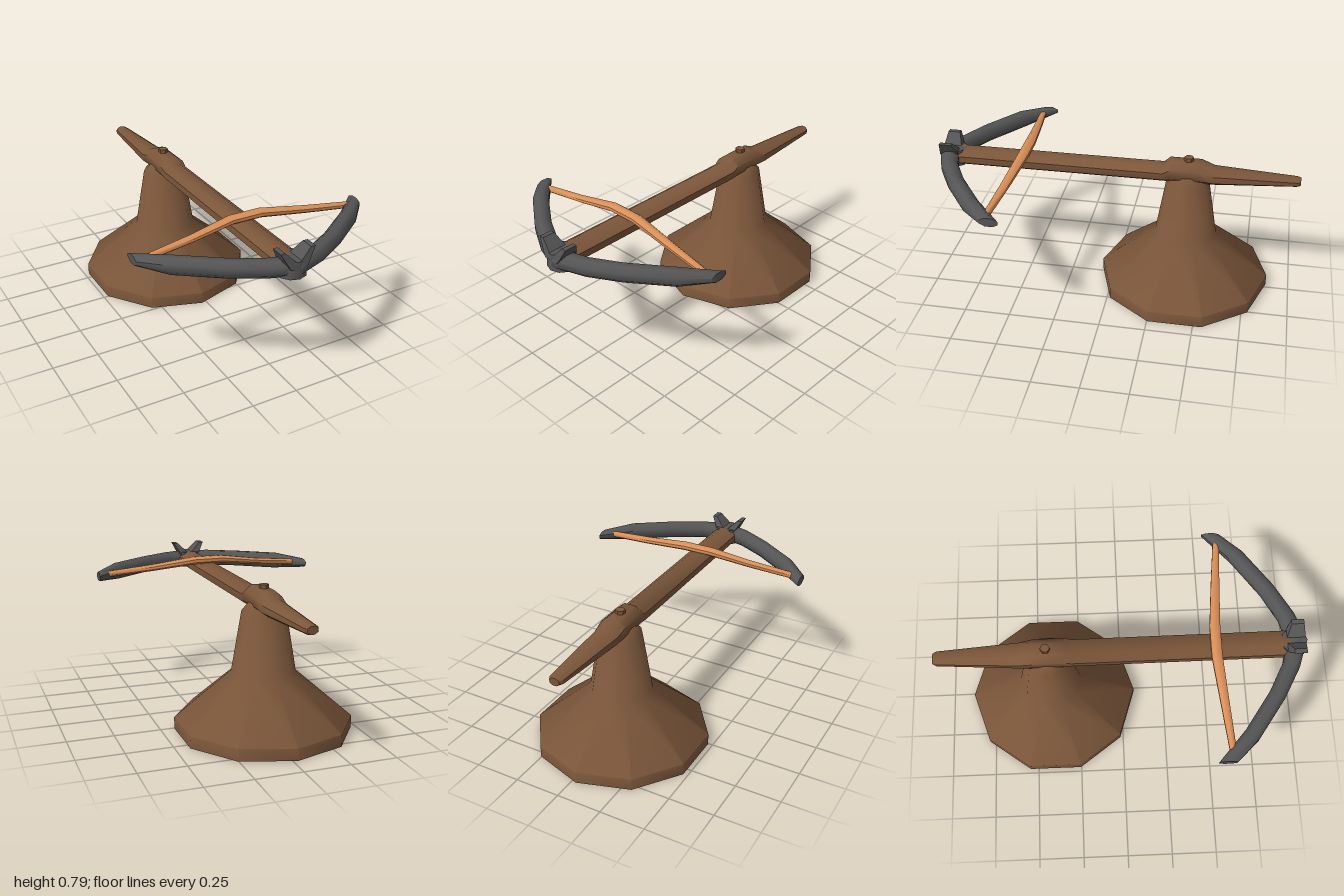
import * as THREE from 'three';
import { toCreasedNormals } from 'three/addons/utils/BufferGeometryUtils.js';

// Capped loft. Each section: { c: [x, y, z], w: half width, h: half height, d: optional heading }
function loft(sections, sides = 8, crease = 0.9) {
  const up = new THREE.Vector3(0, 1, 0);
  const pos = [], index = [];
  const centres = sections.map(s => new THREE.Vector3(...s.c));
  const last = sections.length - 1;
  const fit = 1 / Math.cos(Math.PI / sides);
  sections.forEach((s, i) => {
    const dir = s.d ? new THREE.Vector3(...s.d)
      : centres[Math.min(i + 1, last)].clone().sub(centres[Math.max(i - 1, 0)]);
    dir.y = 0;
    const side = up.clone().cross(dir).normalize();
    for (let k = 0; k < sides; k++) {
      const a = (k + 0.5) / sides * Math.PI * 2;
      const p = centres[i].clone()
        .addScaledVector(side, Math.cos(a) * s.w * fit)
        .addScaledVector(up, Math.sin(a) * s.h * fit);
      pos.push(p.x, p.y, p.z);
    }
  });
  for (let i = 0; i < last; i++) {
    for (let k = 0; k < sides; k++) {
      const a = i * sides + k, b = i * sides + (k + 1) % sides;
      index.push(a, b, b + sides, a, b + sides, a + sides);
    }
  }
  const end = last * sides;
  for (let k = 1; k < sides - 1; k++) {
    index.push(0, k + 1, k, end, end + k, end + k + 1);
  }
  const g = new THREE.BufferGeometry();
  g.setAttribute('position', new THREE.Float32BufferAttribute(pos, 3));
  g.setIndex(index);
  return toCreasedNormals(g, crease);
}

export function createModel() {
  const model = new THREE.Group();
  model.name = 'mountedCrossbow';

  const material = (name, color) => {
    const m = new THREE.MeshStandardMaterial({ color });
    m.name = name;
    return m;
  };
  const wood = material('brown wood', 0x7b563a);
  const iron = material('dark grey iron', 0x555555);
  const cord = material('tan cord', 0xd98f58);

  const add = (name, geometry, mat) => {
    const mesh = new THREE.Mesh(geometry, mat);
    mesh.name = name;
    model.add(mesh);
    return mesh;
  };

  // Ten-sided flared pedestal
  const profile = [[0, 0], [0.473, 0], [0.473, 0.065], [0.17, 0.325], [0.116, 0.65], [0.07, 0.7], [0, 0.7]]
    .map(([r, y]) => new THREE.Vector2(r, y));
  add('pedestal', toCreasedNormals(new THREE.LatheGeometry(profile, 10), 0.9), wood)
    .position.set(-0.025, 0, -0.4);

  // Long stock: tapered handle at the back, raised hump over the pedestal
  add('stock', loft([
    { c: [-0.027, 0.692, -1.0], w: 0.027, h: 0.02 },
    { c: [-0.027, 0.692, -0.98], w: 0.038, h: 0.024 },
    { c: [-0.025, 0.69, -0.54], w: 0.066, h: 0.046 },
    { c: [-0.024, 0.705, -0.47], w: 0.072, h: 0.06 },
    { c: [-0.022, 0.705, -0.3], w: 0.072, h: 0.06 },
    { c: [-0.021, 0.69, -0.265], w: 0.069, h: 0.045 },
    { c: [-0.016, 0.69, 0.9], w: 0.069, h: 0.045 },
  ]), wood);

  // Pivot peg on top of the hump
  add('pivotPeg', toCreasedNormals(new THREE.CylinderGeometry(0.026, 0.028, 0.05, 6), 0.6), wood)
    .position.set(-0.025, 0.76, -0.4);

  // Curved bow, mirrored from its right half: [x, z, half width, half height]
  const half = [
    [0.65, 0.52, 0.048, 0.024],
    [0.51, 0.655, 0.042, 0.045],
    [0.3, 0.805, 0.043, 0.045],
    [0.14, 0.893, 0.045, 0.045],
  ];
  const bowSection = s => ([x, z, w, h]) => ({ c: [s * x, 0.69, z], w, h });
  const bow = [
    ...half.map(bowSection(-1)),
    { c: [0, 0.69, 0.937], w: 0.053, h: 0.045 },
    ...half.map(bowSection(1)).reverse(),
  ];
  bow[0].d = bow[bow.length - 1].d = [1, 0, 0];
  add('bow', loft(bow), iron);

  // Hub joining bow and stock
  add('bowHub', toCreasedNormals(new THREE.CylinderGeometry(0.07, 0.078, 0.088, 10), 0.8), iron)
    .position.set(-0.014, 0.691, 0.915);

  // Pair of splayed sighting prongs
  for (const s of [-1, 1]) {
    const g = new THREE.BoxGeometry(1, 1, 1);
    const p = g.attributes.position;
    for (let i = 0; i < p.count; i++) {
      const top = p.getY(i) > 0;
      const outer = p.getX(i) * s > 0;
      const front = p.getZ(i) > 0;
      const x = top ? (outer ? 0.096 : 0.07) : (outer ? 0.045 : -0.02);
      const z = top ? (front ? 0.967 : 0.9) : (front ? 0.985 : 0.865);
      p.setXYZ(i, s * x - 0.014, top ? 0.79 : 0.7, z);
    }
    add(s > 0 ? 'leftProng' : 'rightProng', toCreasedNormals(g, 0.5), iron);
  }

  // Bowstring resting over the stock
  add('bowstring', loft([
    { c: [-0.6, 0.694, 0.55], w: 0.017, h: 0.016 },
    { c: [-0.33, 0.72, 0.523], w: 0.023, h: 0.018 },
    { c: [-0.1, 0.752, 0.499], w: 0.028, h: 0.022 },
    { c: [0.07, 0.752, 0.499], w: 0.028, h: 0.022 },
    { c: [0.33, 0.72, 0.523], w: 0.023, h: 0.018 },
    { c: [0.6, 0.694, 0.55], w: 0.017, h: 0.016 },
  ]), cord);

  return model;
}
